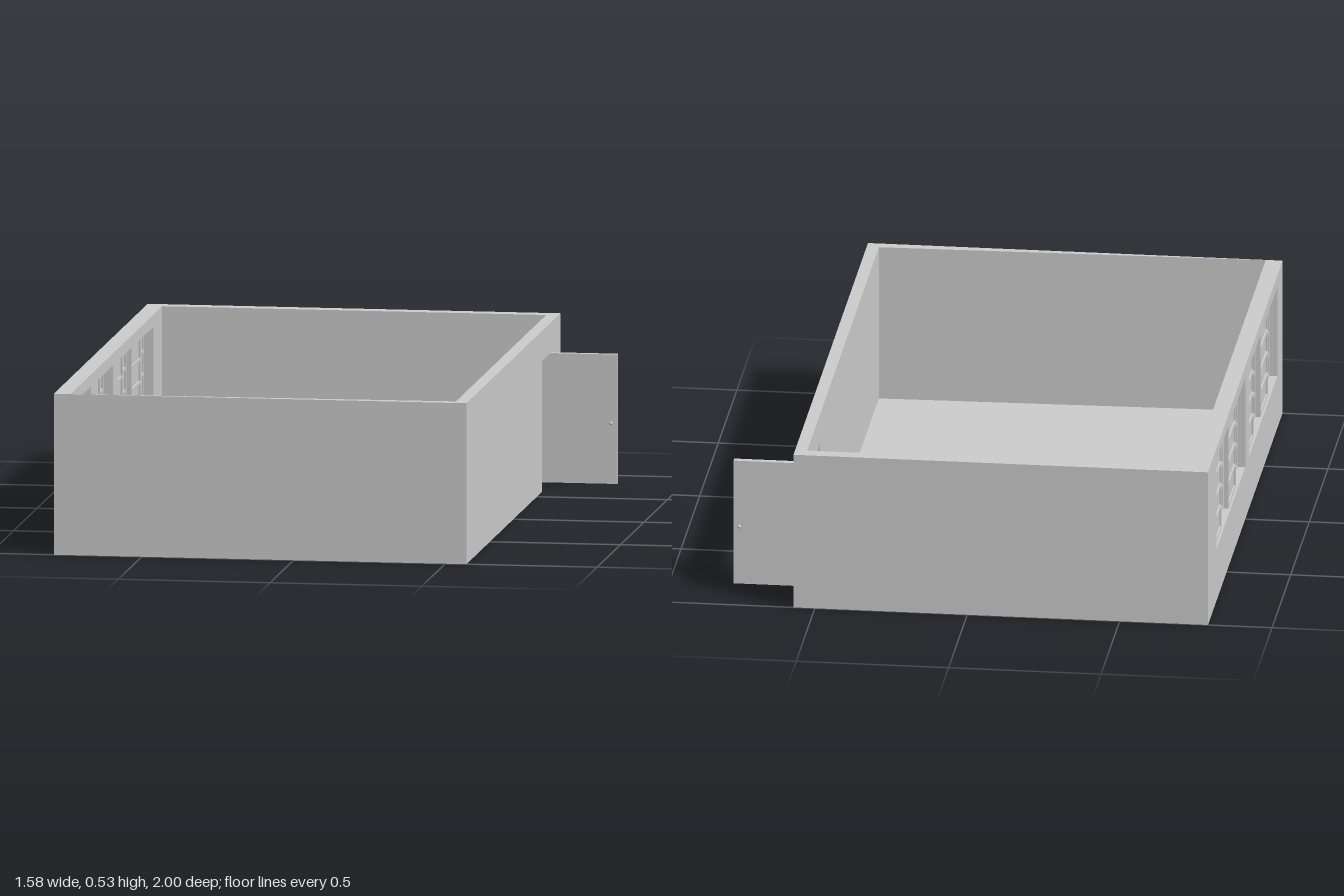
import * as THREE from 'three';

const H = 0.53, FLOOR = 0.005;
const OUT = { x0: -0.79, x1: 0.57 };
const IN = { x0: -0.735, x1: 0.53, z0: -0.955 };
const DOOR = { z0: -0.81, z1: -0.61, h: 0.43 };
const STAGE = { x1: 0.23, z1: -0.69, h: 0.033 };
const WINDOWS = [[-0.77, 0.0], [0.095, 0.86]];
const SILL = 0.18, HEAD = 0.49;

const mat = new THREE.MeshStandardMaterial({ color: 0xcccccc, flatShading: true });

const polygon = (pts, Type = THREE.Shape) => new Type(pts.map(p => new THREE.Vector2(...p)));
const rect = (a0, b0, a1, b1) => [[a0, b0], [a1, b0], [a1, b1], [a0, b1]];

function add(parent, name, geometry) {
  const mesh = new THREE.Mesh(geometry, mat);
  mesh.name = name;
  parent.add(mesh);
  return mesh;
}

function box(parent, name, x0, x1, y0, y1, z0, z1) {
  const mesh = add(parent, name, new THREE.BoxGeometry(x1 - x0, y1 - y0, z1 - z0));
  mesh.position.set((x0 + x1) / 2, (y0 + y1) / 2, (z0 + z1) / 2);
  return mesh;
}

// plan shape (x, z) raised from y0 to y1
function slab(shape, y0, y1) {
  return new THREE.ExtrudeGeometry(shape, { depth: y1 - y0, bevelEnabled: false })
    .rotateX(Math.PI / 2).translate(0, y1, 0);
}

// side elevation (z, y) thickened from x0 to x1
function sideWall(shape, x0, x1) {
  return new THREE.ExtrudeGeometry(shape, { depth: x1 - x0, bevelEnabled: false })
    .rotateY(-Math.PI / 2).translate(x1, 0, 0);
}

// one sliding sash: thin pane, two stiles and evenly spaced rails
function addSash(parent, x, z0, z1) {
  const sash = new THREE.Group();
  sash.name = 'windowSash';
  const t = 0.008, w = 0.01, rails = 5;
  box(sash, 'pane', x - 0.002, x + 0.002, SILL, HEAD, z0, z1);
  box(sash, 'stile', x - t, x + t, SILL, HEAD, z0, z0 + w);
  box(sash, 'stile', x - t, x + t, SILL, HEAD, z1 - w, z1);
  for (let i = 0; i < rails; i++) {
    const y = SILL + (HEAD - SILL - w) * i / (rails - 1);
    box(sash, 'rail', x - t, x + t, y, y + w, z0 + w, z1 - w);
  }
  parent.add(sash);
}

export function createModel() {
  const room = new THREE.Group();
  room.name = 'room';

  // window wall
  const windowWall = polygon(rect(-1, 0, 1, H));
  for (const [z0, z1] of WINDOWS) windowWall.holes.push(polygon(rect(z0, SILL, z1, HEAD), THREE.Path));
  add(room, 'windowWall', sideWall(windowWall, OUT.x0, IN.x0));

  // door wall, open down to the ground at the doorway
  add(room, 'doorWall', sideWall(polygon([
    [-1, 0], [DOOR.z0, 0], [DOOR.z0, DOOR.h], [DOOR.z1, DOOR.h], [DOOR.z1, 0], [1, 0], [1, H], [-1, H],
  ]), IN.x1, OUT.x1));

  // end walls; the front one tapers
  box(room, 'backWall', IN.x0, IN.x1, 0, H, -1, IN.z0);
  add(room, 'frontWall', slab(polygon([[IN.x0, 0.997], [IN.x1, 0.965], [IN.x1, 1], [IN.x0, 1]]), 0, H));

  // floor, left open under the stage and notched at the doorway
  add(room, 'floor', slab(polygon([
    [IN.x0, STAGE.z1], [STAGE.x1, STAGE.z1], [STAGE.x1, IN.z0], [IN.x1, IN.z0],
    [IN.x1, DOOR.z0], [0.515, DOOR.z0], [0.515, DOOR.z1], [IN.x1, DOOR.z1],
    [IN.x1, 0.965], [IN.x0, 0.997],
  ]), 0, FLOOR));

  // hollow stage
  const t = 0.004;
  box(room, 'stageTop', IN.x0, STAGE.x1, STAGE.h - t, STAGE.h, IN.z0, STAGE.z1);
  box(room, 'stageFront', IN.x0, STAGE.x1, 0, STAGE.h - t, STAGE.z1 - t, STAGE.z1);
  box(room, 'stageEnd', STAGE.x1 - t, STAGE.x1, 0, STAGE.h - t, IN.z0, STAGE.z1 - t);

  // four sashes per window on two tracks
  for (const [z0, z1] of WINDOWS) {
    const step = (z1 - z0) / 4;
    for (let i = 0; i < 4; i++) {
      const a = Math.max(z0, z0 + step * i - 0.005);
      const b = Math.min(z1, z0 + step * (i + 1) + 0.005);
      addSash(room, i % 2 ? -0.756 : -0.774, a, b);
    }
  }

  // open door with a knob on each face
  const door = new THREE.Group();
  door.name = 'door';
  box(door, 'doorLeaf', OUT.x1, 0.79, 0.004, DOOR.h, DOOR.z0, -0.79);
  for (const [z, s] of [[-0.79, 1], [DOOR.z0, -1]]) {
    const stem = add(door, 'knobStem', new THREE.CylinderGeometry(0.003, 0.003, 0.008, 10).rotateX(Math.PI / 2));
    stem.position.set(0.77, 0.205, z + s * 0.003);
    const knob = add(door, 'knob', new THREE.SphereGeometry(0.006, 12, 8));
    knob.position.set(0.77, 0.205, z + s * 0.008);
  }
  room.add(door);

  return room;
}
